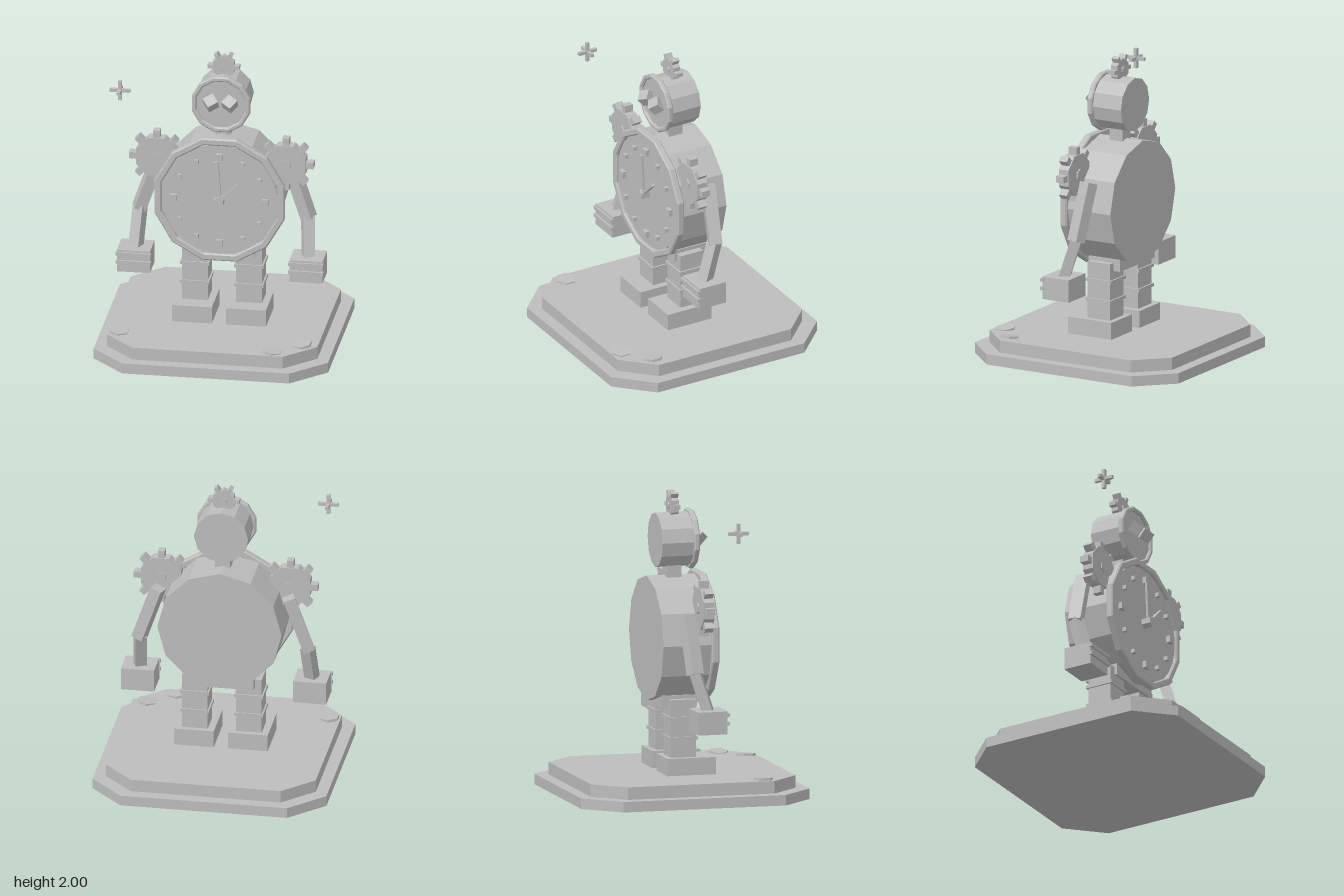
import * as THREE from 'three';

export function createModel() {
  const model = new THREE.Group();
  const grey = new THREE.MeshStandardMaterial({ color: 0xbcbcbc, flatShading: true });
  grey.name = 'plain grey';

  function add(name, geometry, x = 0, y = 0, z = 0, parent = model) {
    const mesh = new THREE.Mesh(geometry, grey);
    mesh.name = name;
    mesh.position.set(x, y, z);
    parent.add(mesh);
    return mesh;
  }
  const box = (w, h, d) => new THREE.BoxGeometry(w, h, d);
  // Disc with its axis along z and a corner at the top
  const disc = (r, depth, sides) => new THREE.CylinderGeometry(r, r, depth, sides).rotateX(Math.PI / 2);

  function polygon(PathType, r, sides, turn) {
    const points = [];
    for (let i = 0; i < sides; i++) {
      const a = turn + i / sides * Math.PI * 2;
      points.push(new THREE.Vector2(Math.cos(a) * r, Math.sin(a) * r));
    }
    return new PathType(points);
  }

  // Twelve-sided bevelled ring with flats at top, bottom and sides
  function ring(outer, inner, depth) {
    const bevel = 0.008;
    const k = 1 / Math.cos(Math.PI / 12);
    const shape = polygon(THREE.Shape, (outer - bevel) * k, 12, Math.PI / 12);
    shape.holes.push(polygon(THREE.Path, (inner + bevel) * k, 12, Math.PI / 12));
    return new THREE.ExtrudeGeometry(shape, {
      depth: depth - 2 * bevel, bevelEnabled: true, bevelSize: bevel, bevelThickness: bevel, bevelSegments: 1
    }).translate(0, 0, bevel);
  }

  // Bar running between two points
  function bar(name, from, to, w, d) {
    const a = new THREE.Vector3(...from), b = new THREE.Vector3(...to);
    const dir = b.clone().sub(a);
    const mesh = add(name, box(w, dir.length(), d));
    mesh.position.copy(a).add(b).multiplyScalar(0.5);
    mesh.quaternion.setFromUnitVectors(new THREE.Vector3(0, 1, 0), dir.normalize());
    return mesh;
  }

  // Toothed wheel facing z
  function gear(name, x, y, z, o) {
    const g = new THREE.Group();
    g.name = name;
    g.position.set(x, y, z);
    model.add(g);
    add('gearWheel', disc(o.r, o.depth, o.teeth).rotateZ(o.turn), 0, 0, 0, g);
    add('gearHub', disc(o.hub, o.depth + 0.02, 6), 0, 0, 0, g);
    for (let i = 0; i < o.teeth; i++) {
      const a = i / o.teeth * Math.PI * 2;
      const mid = o.reach - o.tooth / 2;
      const tooth = add('gearTooth', box(o.tooth, o.width, o.toothDepth), Math.cos(a) * mid, Math.sin(a) * mid, 0, g);
      tooth.rotation.z = a;
    }
  }

  // Stepped base with cut corners
  function plinth(name, half, flat, y, h) {
    const shape = new THREE.Shape([
      [half, -flat], [half, flat], [flat, half], [-flat, half],
      [-half, flat], [-half, -flat], [-flat, -half], [flat, -half]
    ].map(p => new THREE.Vector2(...p)));
    add(name, new THREE.ExtrudeGeometry(shape, { depth: h, bevelEnabled: false }).rotateX(-Math.PI / 2), 0, y, 0);
  }
  plinth('lowerBase', 0.78, 0.555, 0, 0.07);
  plinth('upperBase', 0.70, 0.5, 0.07, 0.083);

  // Loose nuts lying on the base
  for (const [x, z, tx, tz] of [[-0.627, 0.443, 0.03, -0.1], [0.42, 0.625, 0.03, -0.13], [0.595, 0.487, 0.03, 0.14]]) {
    const nut = add('looseNut', new THREE.CylinderGeometry(0.067, 0.067, 0.018, 6), x, 0.157, z);
    nut.rotation.set(tx, 0, tz);
  }

  // Legs, arms and shoulder gears on both sides
  for (const s of [-1, 1]) {
    add('foot', box(0.264, 0.115, 0.33), s * 0.18, 0.21, 0.045);
    add('leg', box(0.172, 0.39, 0.172), s * 0.18, 0.455, 0.003);
    for (const y of [0.393, 0.527]) add('legBand', box(0.194, 0.022, 0.194), s * 0.18, y, 0.003);

    gear('shoulderGear', s * 0.43, 1.28, 0.093, {
      r: 0.145, depth: 0.075, teeth: 8, turn: Math.PI / 8, hub: 0.037, reach: 0.184, tooth: 0.06, width: 0.044, toothDepth: 0.06
    });
    bar('upperArm', [s * 0.435, 1.235, -0.022], [s * 0.565, 0.86, -0.002], 0.08, 0.085);
    bar('forearm', [s * 0.558, 0.875, -0.002], [s * 0.575, 0.6, 0.085], 0.076, 0.07);
    add('hand', box(0.22, 0.152, 0.2), s * 0.574, 0.55, 0.085);
    for (const y of [0.603, 0.545]) add('knuckleBar', box(0.235, 0.022, 0.025), s * 0.574, y, 0.187);

    // Tilted cube eye
    const eye = add('eye', box(0.075, 0.075, 0.075), s * 0.063, 1.702, 0.158);
    eye.rotation.set(-0.85, 0, -s * 0.62);
  }

  // Clock body
  add('hips', box(0.44, 0.08, 0.24), 0, 0.635, -0.012);
  add('clockCase', disc(0.415, 0.345, 12), 0, 1.03, -0.0025);
  add('clockFace', disc(0.4, 0.03, 12), 0, 1.03, 0.17);
  add('clockRim', ring(0.432, 0.385, 0.05), 0, 1.03, 0.153);
  for (let i = 0; i < 12; i++) {
    const a = i / 12 * Math.PI * 2;
    const size = i % 3 ? 0.028 : 0.046;
    add('hourMark', box(size, size, 0.03), Math.cos(a) * 0.305, 1.03 + Math.sin(a) * 0.305, 0.197);
  }
  add('handHub', disc(0.037, 0.065, 6), 0, 1.03, 0.217);
  bar('minuteHand', [0, 1.03, 0.222], [-0.021, 1.31, 0.222], 0.036, 0.016);
  bar('hourHand', [0, 1.03, 0.226], [0.142, 1.163, 0.226], 0.022, 0.024);

  // Neck and head
  add('neck', box(0.1, 0.16, 0.1), 0, 1.46, 0);
  add('head', disc(0.181, 0.235, 12), 0, 1.68, 0.0025);
  add('headRim', ring(0.194, 0.162, 0.038), 0, 1.682, 0.1);
  gear('headGear', 0, 1.905, 0.003, {
    r: 0.08, depth: 0.05, teeth: 6, turn: 0, hub: 0.022, reach: 0.105, tooth: 0.05, width: 0.026, toothDepth: 0.05
  });

  // Floating spark made of three crossed bars
  for (const size of [[0.135, 0.022, 0.022], [0.022, 0.135, 0.022], [0.022, 0.022, 0.135]]) {
    add('sparkBar', box(...size), -0.65, 1.8, 0.268);
  }
  return model;
}
